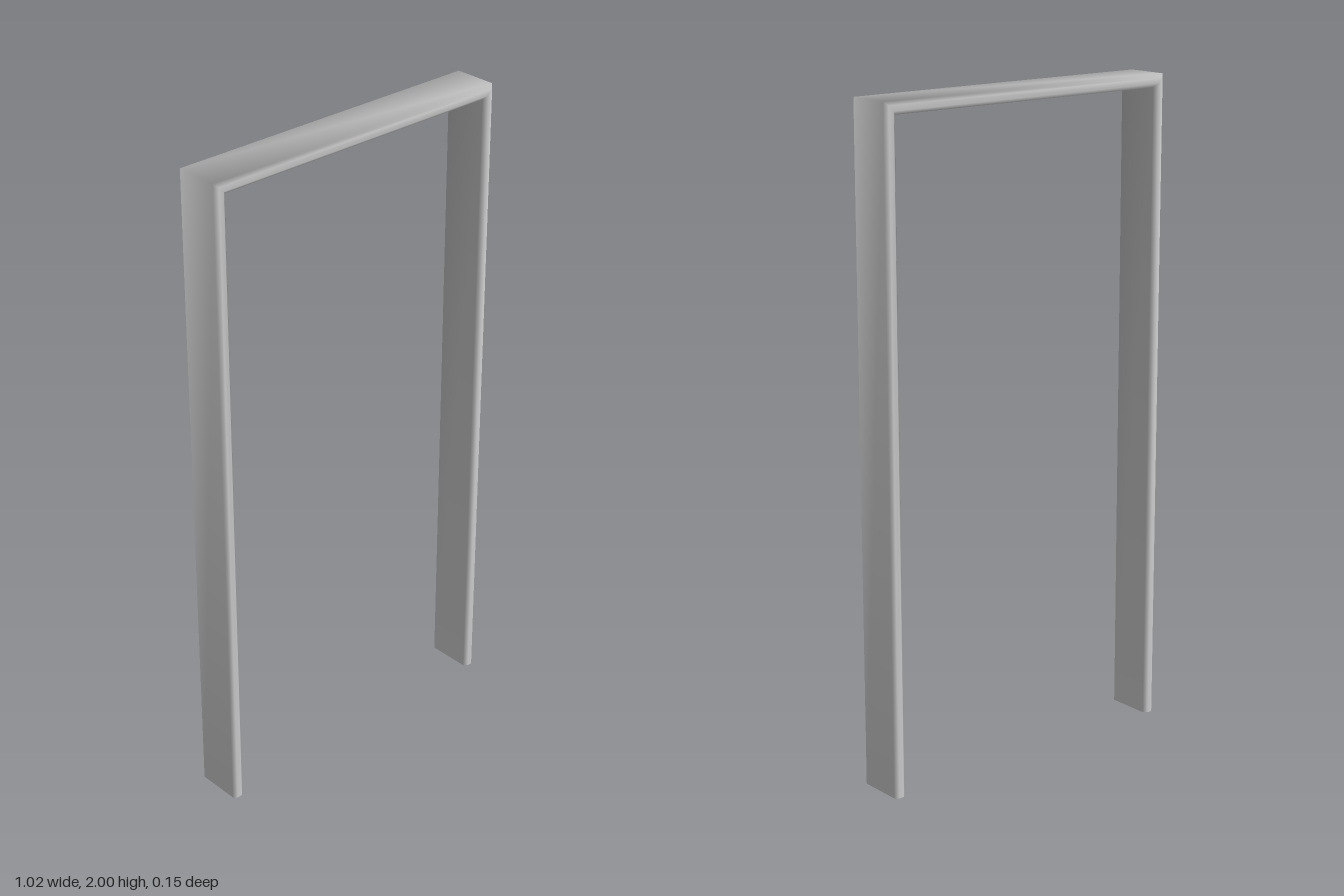
import * as THREE from 'three';

const HALF_W = 0.51, HEIGHT = 2, T = 0.038, H = 0.077, B = 0.011;

// Chamfered bar section: [inset from the outer edge, z]
const section = [
  [B, H], [T - B, H], [T, H - B], [T, B - H],
  [T - B, -H], [B, -H], [0, B - H], [0, H - B],
];
const N = section.length;

// Mitred path up the right leg, across the head and down the left leg
const stations = [
  (d) => [d - HALF_W, 0],
  (d) => [d - HALF_W, HEIGHT - d],
  (d) => [HALF_W - d, HEIGHT - d],
  (d) => [HALF_W - d, 0],
];

function toGeometry(positions, index) {
  const g = new THREE.BufferGeometry();
  g.setAttribute('position', new THREE.Float32BufferAttribute(positions, 3));
  g.setIndex(index);
  g.computeVertexNormals();
  return g;
}

const ring = (station) => section.flatMap(([d, z]) => [...station(d), z]);

function frameGeometry() {
  const index = [];
  for (let i = 0; i < stations.length - 1; i++) {
    for (let j = 0; j < N; j++) {
      const k = (j + 1) % N;
      const a = i * N + j, b = i * N + k, c = b + N, d = a + N;
      index.push(a, b, c, a, c, d);
    }
  }
  return toGeometry(stations.flatMap(ring), index);
}

// Flat foot closing one end of the frame
function footGeometry(station, flip) {
  const index = [];
  for (let j = 1; j < N - 1; j++) index.push(0, ...(flip ? [j + 1, j] : [j, j + 1]));
  return toGeometry(ring(station), index);
}

export function createModel() {
  const group = new THREE.Group();
  group.name = 'doorFrame';
  const material = new THREE.MeshStandardMaterial({ color: 0xcccccc });
  const add = (name, geometry) => {
    const mesh = new THREE.Mesh(geometry, material);
    mesh.name = name;
    group.add(mesh);
  };
  add('frame', frameGeometry());
  add('rightFoot', footGeometry(stations[0], true));
  add('leftFoot', footGeometry(stations[3], false));
  return group;
}
